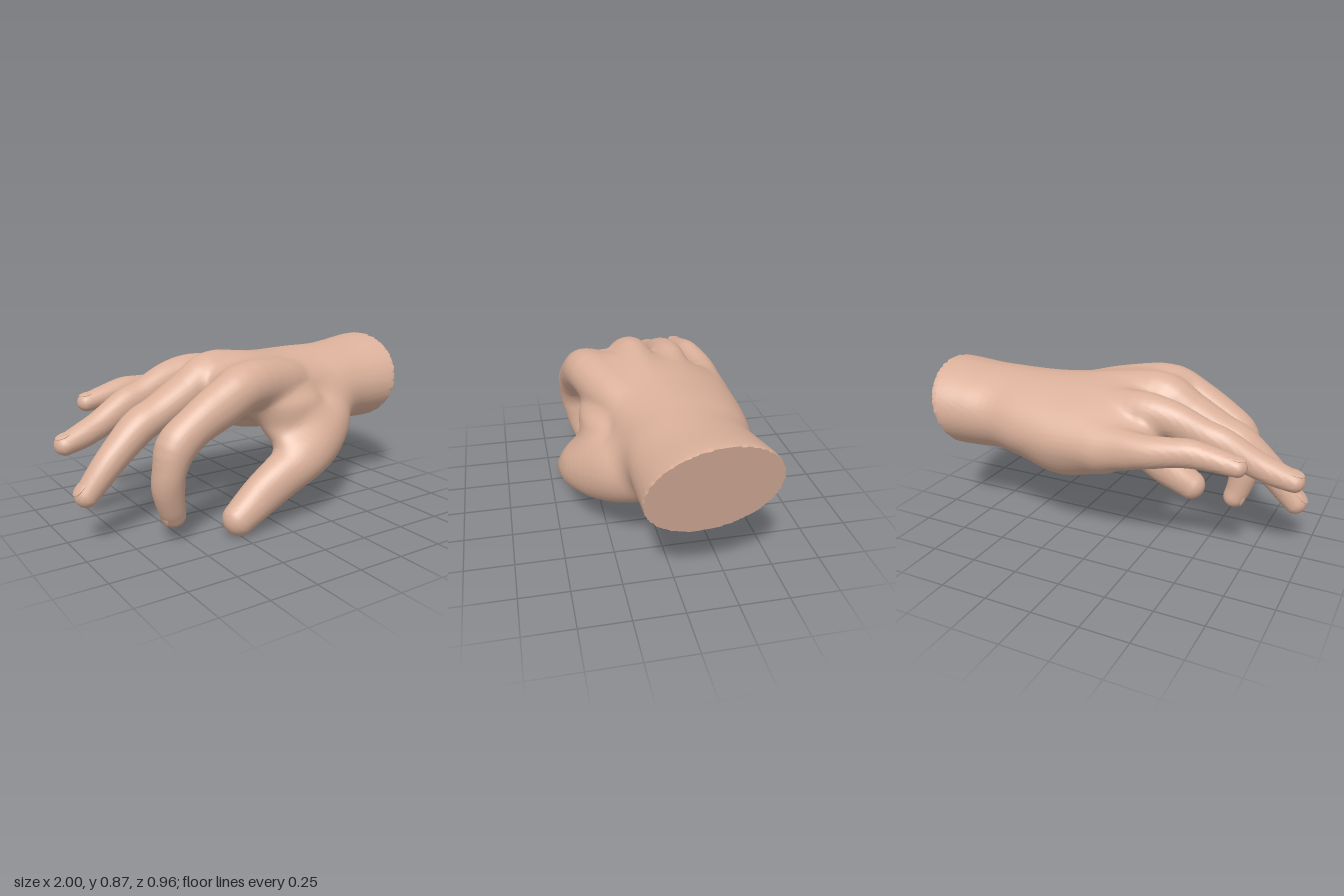
import * as THREE from 'three';

const skin = new THREE.MeshStandardMaterial({ color: 0xdab09a });
skin.name = 'skin';

// Stations of each limb: [x, y, z, halfSide, halfBack, roll]
const palm = [
  [1.1, 0.61, -0.125, 0.315, 0.236, -0.12], [0.95, 0.609, -0.125, 0.315, 0.236, -0.12], [0.78, 0.602, -0.112, 0.306, 0.225, -0.08],
  [0.62, 0.602, -0.1, 0.3, 0.216, 0], [0.45, 0.6, -0.115, 0.32, 0.218, 0.07], [0.25, 0.612, -0.108, 0.355, 0.205, 0.14],
  [0.05, 0.645, -0.08, 0.39, 0.18, 0.2], [-0.08, 0.655, -0.06, 0.41, 0.16, 0.23], [-0.18, 0.66, -0.055, 0.395, 0.125, 0.25]];
const heel = [[0.48, 0.53, -0.19, 0.1, 0.1], [0.24, 0.505, -0.25, 0.165, 0.148], [-0.02, 0.55, -0.31, 0.13, 0.12]];
const web = [
  [0.16, 0.34, 0.32, 0.08, 0.08], [0.165, 0.41, 0.295, 0.11, 0.135], [0.16, 0.5, 0.25, 0.108, 0.18],
  [0.12, 0.62, 0.225, 0.115, 0.205], [0.1, 0.7, 0.17, 0.08, 0.15]];
const thumb = [
  [0.6, 0.545, 0.02, 0.13, 0.14], [0.42, 0.45, 0.165, 0.165, 0.168], [0.28, 0.385, 0.28, 0.147, 0.16],
  [0.17, 0.33, 0.345, 0.125, 0.125], [0.03, 0.26, 0.362, 0.1, 0.112], [-0.09, 0.185, 0.362, 0.088, 0.104],
  [-0.18, 0.13, 0.37, 0.084, 0.09], [-0.25, 0.086, 0.378, 0.074, 0.08]];
const fingers = {
  indexFinger: [
    [0.36, 0.65, 0.04, 0.1, 0.11], [0.1, 0.7, 0.19, 0.11, 0.12], [-0.14, 0.725, 0.275, 0.112, 0.117], [-0.3, 0.655, 0.292, 0.105, 0.115],
    [-0.45, 0.575, 0.302, 0.095, 0.1], [-0.55, 0.49, 0.302, 0.099, 0.1], [-0.588, 0.38, 0.3, 0.09, 0.08],
    [-0.59, 0.29, 0.287, 0.084, 0.08], [-0.57, 0.19, 0.272, 0.071, 0.069], [-0.55, 0.135, 0.258, 0.062, 0.062]],
  middleFinger: [
    [0.35, 0.67, -0.03, 0.08, 0.12], [0.08, 0.725, 0.01, 0.09, 0.11], [-0.19, 0.768, 0.03, 0.11, 0.107], [-0.36, 0.68, 0.045, 0.108, 0.1],
    [-0.52, 0.6, 0.056, 0.097, 0.088], [-0.63, 0.545, 0.062, 0.096, 0.088], [-0.76, 0.435, 0.08, 0.08, 0.078],
    [-0.83, 0.365, 0.087, 0.073, 0.072], [-0.922, 0.26, 0.09, 0.062, 0.06]],
  ringFinger: [
    [0.25, 0.67, -0.13, 0.08, 0.1], [0.03, 0.7, -0.16, 0.085, 0.1], [-0.17, 0.73, -0.18, 0.095, 0.1], [-0.33, 0.71, -0.176, 0.086, 0.094],
    [-0.5, 0.645, -0.156, 0.074, 0.083], [-0.6, 0.61, -0.146, 0.073, 0.083], [-0.75, 0.535, -0.127, 0.067, 0.07],
    [-0.85, 0.495, -0.113, 0.065, 0.064], [-0.945, 0.465, -0.1, 0.059, 0.053]],
  littleFinger: [
    [0.18, 0.6, -0.31, 0.09, 0.12], [0, 0.585, -0.365, 0.09, 0.11], [-0.16, 0.6, -0.387, 0.085, 0.1], [-0.3, 0.615, -0.396, 0.078, 0.083],
    [-0.42, 0.63, -0.385, 0.07, 0.072], [-0.51, 0.635, -0.37, 0.066, 0.07], [-0.62, 0.62, -0.355, 0.06, 0.059],
    [-0.73, 0.6, -0.345, 0.053, 0.048]],
};

// Axes of a cross-section: T along the limb, S sideways (towards +z), U to the back of the hand
function frame(T, roll = 0) {
  const S0 = new THREE.Vector3(0, 0, 1).addScaledVector(T, -T.z).normalize();
  const S = S0.clone().multiplyScalar(Math.cos(roll)).addScaledVector(T.clone().cross(S0), Math.sin(roll));
  return { S, U: T.clone().cross(S) };
}

// Distance to a rounded limb with elliptical sections; w picks the axes that locate the nearest section
function limb(stations, w = [1, 1, 1], n = 30) {
  const path = new THREE.CatmullRomCurve3(stations.map(s => new THREE.Vector3(s[0], s[1], s[2])), false, 'catmullrom');
  const size = new THREE.CatmullRomCurve3(stations.map(s => new THREE.Vector3(s[3], s[4], s[5] || 0)), false, 'catmullrom');
  const rows = [], box = new THREE.Box3();
  for (let i = 0; i <= n; i++) {
    const c = path.getPoint(i / n), r = size.getPoint(i / n);
    const T = path.getTangent(i / n).multiply(new THREE.Vector3(...w)).normalize();
    const { S, U } = frame(T, r.z);
    rows.push([...c, ...S, ...U, ...T, r.x, r.y]);
    box.expandByPoint(c.clone().addScalar(Math.max(r.x, r.y) + 0.12)).expandByPoint(c.clone().addScalar(-Math.max(r.x, r.y) - 0.12));
  }
  const v = new Array(14);
  return (x, y, z) => {
    if (x < box.min.x || y < box.min.y || z < box.min.z || x > box.max.x || y > box.max.y || z > box.max.z) return 1;
    let best = Infinity, seg = 0, at = 0;
    for (let i = 0; i < n; i++) {
      const a = rows[i], b = rows[i + 1];
      const dx = b[0] - a[0], dy = b[1] - a[1], dz = b[2] - a[2], px = x - a[0], py = y - a[1], pz = z - a[2];
      const along = (w[0] * px * dx + w[1] * py * dy + w[2] * pz * dz) / (w[0] * dx * dx + w[1] * dy * dy + w[2] * dz * dz);
      const t = Math.min(1, Math.max(0, along));
      const e = w[0] * (px - t * dx) ** 2 + w[1] * (py - t * dy) ** 2 + w[2] * (pz - t * dz) ** 2;
      if (e < best) { best = e; seg = i; at = t; }
    }
    for (let k = 0; k < 14; k++) v[k] = rows[seg][k] + at * (rows[seg + 1][k] - rows[seg][k]);
    const qx = x - v[0], qy = y - v[1], qz = z - v[2], m = Math.min(v[12], v[13]);
    const s = (qx * v[3] + qy * v[4] + qz * v[5]) / v[12];
    const u = (qx * v[6] + qy * v[7] + qz * v[8]) / v[13];
    const t = (qx * v[9] + qy * v[10] + qz * v[11]) / m;
    const k0 = Math.hypot(s, u, t), k1 = Math.hypot(s / v[12], u / v[13], t / m);
    return k1 < 1e-6 ? -m : k0 * (k0 - 1) / k1;
  };
}

// Minimum of two distances with a soft fillet of width k
const blend = (a, b, k) => Math.min(a, b) - Math.max(k - Math.abs(a - b), 0) ** 2 / (4 * k);

// Slanted plane that cuts the wrist
const cutX = (y, z) => 0.942 + (y - 0.61) * 0.24 + (z + 0.125) * 0.06;

// Wraps a net of quads around the region where field < 0
function wrap(field, min, max, h) {
  const N = min.map((m, a) => Math.ceil((max[a] - m) / h) + 1);
  const stride = [N[1] * N[2], N[2], 1];
  const val = new Float32Array(N[0] * N[1] * N[2]), vert = new Int32Array(val.length).fill(-1);
  const each = (pad, fn) => {
    for (let i = pad; i < N[0] - pad; i++) for (let j = pad; j < N[1] - pad; j++) for (let k = pad; k < N[2] - pad; k++)
      fn(i * stride[0] + j * stride[1] + k, [i, j, k]);
  };
  each(0, (id, g) => { val[id] = field(min[0] + g[0] * h, min[1] + g[1] * h, min[2] + g[2] * h); });
  const pos = [], tris = [];
  // One vertex per crossed cell, at the mean of its edge crossings
  each(1, (id, g) => {
    const sum = [0, 0, 0];
    let count = 0;
    for (let a = 0; a < 3; a++) for (let q = 0; q < 4; q++) {
      const b = (a + 1) % 3, c = (a + 2) % 3, ob = q & 1, oc = q >> 1;
      const p = id + ob * stride[b] + oc * stride[c], v0 = val[p], v1 = val[p + stride[a]];
      if ((v0 < 0) === (v1 < 0)) continue;
      sum[a] += v0 / (v0 - v1); sum[b] += ob; sum[c] += oc;
      count++;
    }
    if (!count) return;
    vert[id] = pos.length / 3;
    for (let a = 0; a < 3; a++) pos.push(min[a] + (g[a] + sum[a] / count) * h);
  });
  // One quad per crossed edge
  each(2, id => {
    for (let a = 0; a < 3; a++) {
      const inside = val[id] < 0;
      if (inside === (val[id + stride[a]] < 0)) continue;
      const sb = stride[(a + 1) % 3], sc = stride[(a + 2) % 3];
      const q = [id - sb - sc, id - sc, id, id - sb].map(c => vert[c]);
      if (!inside) q.reverse();
      tris.push([q[0], q[1], q[2]], [q[0], q[2], q[3]]);
    }
  });
  return { pos, tris };
}

function skinGeometry(position, tris) {
  const g = new THREE.BufferGeometry();
  g.setAttribute('position', position);
  g.setIndex(tris.flat());
  g.computeVertexNormals();
  return g;
}

// Thin nail lying on the back of a fingertip
function nail(name, stations) {
  const [a, b] = stations.slice(-2).map(s => new THREE.Vector3(s[0], s[1], s[2]));
  const [, , , rs, ru] = stations[stations.length - 1];
  const T = b.clone().sub(a).normalize(), { S, U } = frame(T);
  const m = new THREE.Mesh(new THREE.SphereGeometry(1, 20, 12), skin);
  m.name = name;
  m.scale.set(rs * 0.62, ru * 0.16, rs * 0.75);
  m.quaternion.setFromRotationMatrix(new THREE.Matrix4().makeBasis(S, U, S.clone().cross(U)));
  m.position.copy(b).addScaledVector(U, ru * 0.88).addScaledVector(T, -rs * 0.15);
  return m;
}

export function createModel() {
  const hand = new THREE.Group();
  hand.name = 'hand';

  const palmD = limb(palm, [1, 0, 0]), heelD = limb(heel), webD = limb(web, [0, 1, 0]), thumbD = limb(thumb);
  const fingerD = Object.values(fingers).map(s => limb(s));

  // Palm, heel, thumb and web melt together; each finger melts into them but hardly into its neighbours
  const field = (x, y, z) => {
    const body = blend(blend(blend(palmD(x, y, z), heelD(x, y, z), 0.07), thumbD(x, y, z), 0.07), webD(x, y, z), 0.07);
    let d = body;
    for (const f of fingerD) d = blend(d, blend(body, f(x, y, z), 0.05), 0.012);
    return Math.max(d, x - cutX(y, z));
  };
  const H = 0.0125;
  const { pos, tris } = wrap(field, [-1.05, -0.05, -0.53], [1.06, 0.93, 0.53], H);

  // Sort the skin into named parts and flatten the wrist cut
  const names = ['palmAndWrist', 'thumb', ...Object.keys(fingers)];
  const owner = [];
  for (let i = 0; i < pos.length; i += 3) {
    const [x, y, z] = pos.slice(i, i + 3), flat = cutX(y, z);
    const d = [Math.min(palmD(x, y, z), heelD(x, y, z), webD(x, y, z)), thumbD(x, y, z), ...fingerD.map(f => f(x, y, z))];
    const onCut = x > flat - H * 0.9;
    if (onCut) pos[i] = flat;
    owner.push(onCut ? 'wristCut' : names[d.indexOf(Math.min(...d))]);
  }
  const position = new THREE.Float32BufferAttribute(pos, 3);
  const isCut = t => t.every(v => owner[v] === 'wristCut');
  const flesh = tris.filter(t => !isCut(t));
  const normal = skinGeometry(position, flesh).attributes.normal;
  for (const name of [...names, 'wristCut']) {
    const geometry = name === 'wristCut'
      ? skinGeometry(position, tris.filter(isCut))
      : skinGeometry(position, flesh.filter(t => (owner[t[0]] === 'wristCut' ? names[0] : owner[t[0]]) === name));
    if (name !== 'wristCut') geometry.setAttribute('normal', normal);
    const part = new THREE.Mesh(geometry, skin);
    part.name = name;
    hand.add(part);
  }

  for (const [name, stations] of Object.entries({ ...fingers, thumb })) hand.add(nail(name + 'Nail', stations));
  return hand;
}
